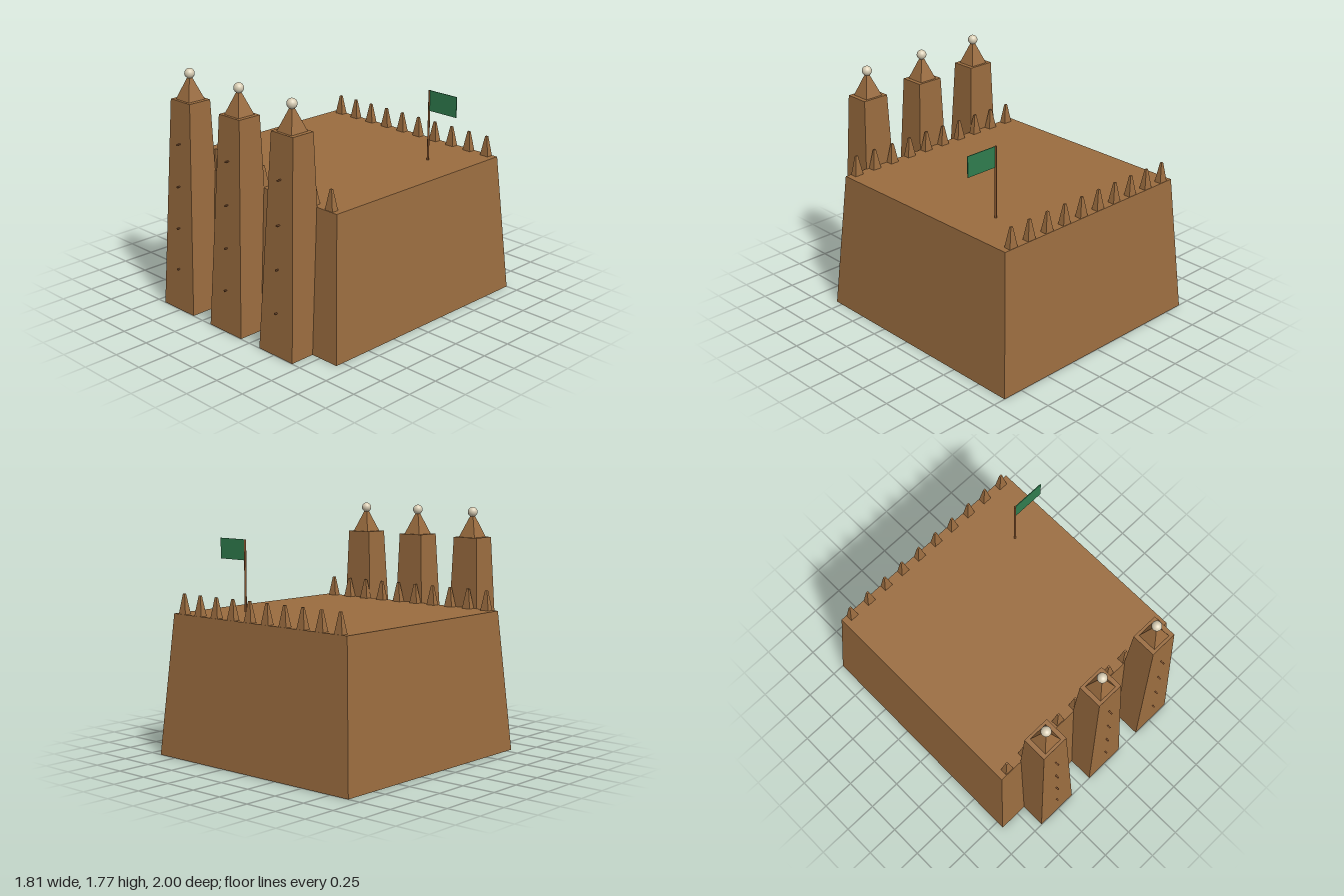
import * as THREE from 'three';

const mat = (name, color) => {
  const m = new THREE.MeshStandardMaterial({ color });
  m.name = name;
  return m;
};

// Box whose bottom and top rectangles differ; each is [x0, x1, z0, z1].
function taperedBox(bottom, top, y0, y1) {
  const g = new THREE.BoxGeometry(1, 1, 1);
  const p = g.attributes.position;
  for (let i = 0; i < p.count; i++) {
    const up = p.getY(i) > 0;
    const r = up ? top : bottom;
    p.setXYZ(i, p.getX(i) < 0 ? r[0] : r[1], up ? y1 : y0, p.getZ(i) < 0 ? r[2] : r[3]);
  }
  g.computeVertexNormals();
  return g;
}

export function createModel() {
  const model = new THREE.Group();
  model.name = 'mudFortress';
  const mud = mat('mud brown', 0x9a6c3f);
  const wood = mat('wood brown', 0x85532c);
  const ivory = mat('eggshell', 0xd8cdb4);
  const green = mat('flag green', 0x2f7d4e);

  const add = (parent, name, geometry, material, x = 0, y = 0, z = 0) => {
    const m = new THREE.Mesh(geometry, material);
    m.name = name;
    m.position.set(x, y, z);
    parent.add(m);
    return m;
  };

  // Main hall with sloping walls
  const roofY = 1.03;
  add(model, 'hall', taperedBox([-0.905, 0.905, -1, 0.81], [-0.823, 0.823, -0.918, 0.728], 0, roofY), mud);

  // Front towers with cap, finial and projecting beams
  const towerTop = 1.545;
  const towerGeo = taperedBox([-0.163, 0.163, 0.70, 0.998], [-0.103, 0.103, 0.735, 0.917], 0, towerTop);
  const capGeo = taperedBox([-0.071, 0.071, -0.071, 0.071], [-0.001, 0.001, -0.001, 0.001], 0, 0.185);
  const ballGeo = new THREE.SphereGeometry(0.036, 20, 14);
  const beamGeo = new THREE.CylinderGeometry(0.006, 0.006, 0.06, 8).rotateX(Math.PI / 2);
  for (const x of [-0.515, 0, 0.515]) {
    const tower = new THREE.Group();
    tower.name = 'tower';
    tower.position.x = x;
    model.add(tower);
    add(tower, 'towerShaft', towerGeo, mud);
    add(tower, 'towerCap', capGeo, mud, 0, towerTop, 0.826);
    add(tower, 'finial', ballGeo, ivory, 0, 1.73, 0.826);
    for (let i = 1; i <= 4; i++) {
      add(tower, 'beam', beamGeo, wood, 0, i * 0.31, 0.983 - i * 0.0125);
    }
  }

  // Rows of roof spikes along front and back
  const spikeGeo = taperedBox([-0.035, 0.035, -0.026, 0.026], [-0.009, 0.009, -0.007, 0.007], 0, 0.145);
  for (const z of [0.697, -0.889]) {
    for (let i = 0; i < 10; i++) {
      add(model, 'roofSpike', spikeGeo, mud, (i - 4.5) * 0.165, roofY, z);
    }
  }

  // Flagpole and flag
  add(model, 'flagpole', new THREE.CylinderGeometry(0.008, 0.008, 0.52, 10), wood, 0.515, roofY + 0.26, -0.508);
  add(model, 'flag', new THREE.BoxGeometry(0.25, 0.15, 0.006), green, 0.641, 1.475, -0.508);

  return model;
}
